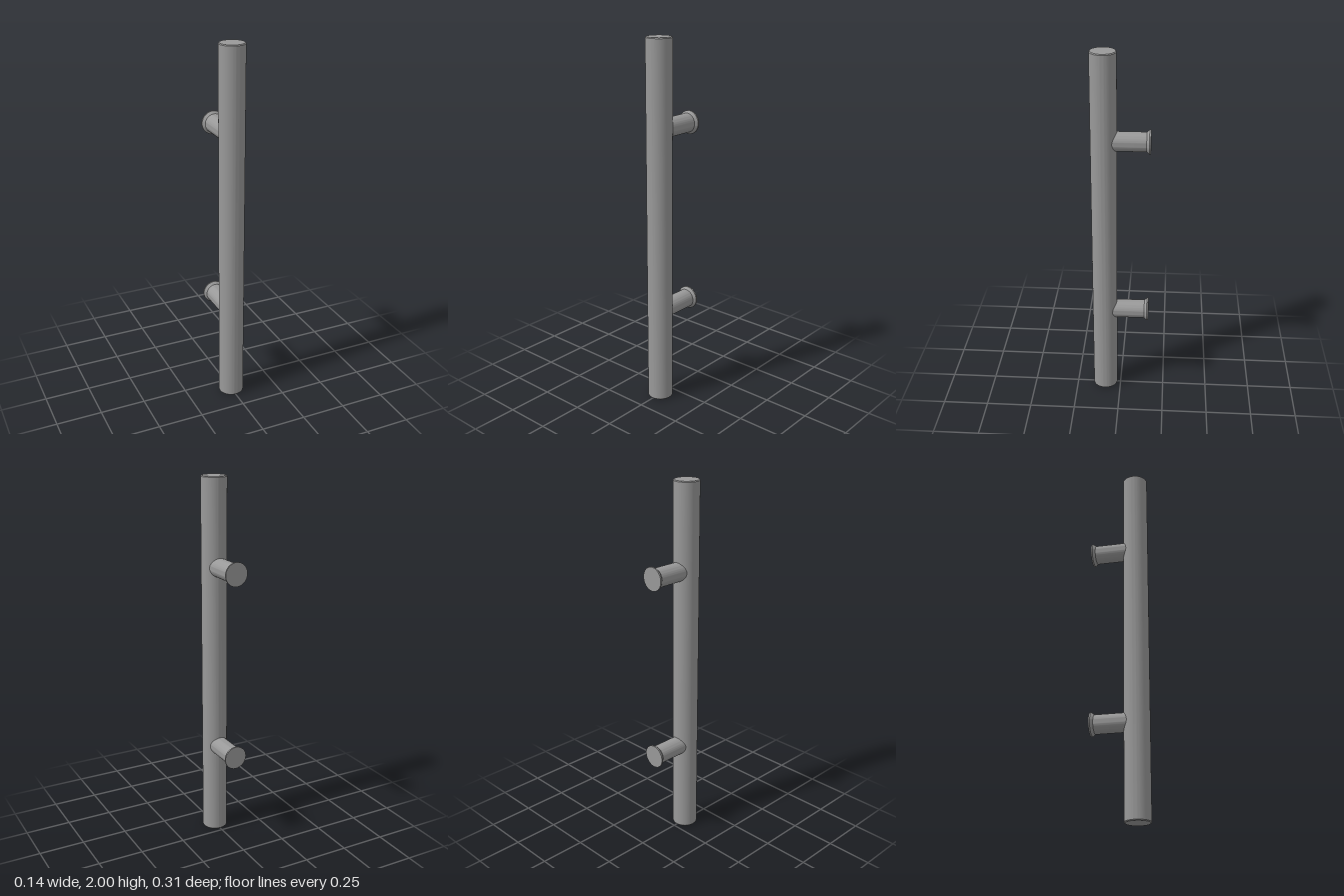
import * as THREE from 'three';
import { toCreasedNormals } from 'three/addons/utils/BufferGeometryUtils.js';

const BAR_Z = 0.0875;

// Solid of revolution from [radius, height] pairs, with crisp rims
function turned(name, profile, material) {
  const points = profile.map(([r, h]) => new THREE.Vector2(r, h));
  const geometry = toCreasedNormals(new THREE.LatheGeometry(points, 64), 0.5);
  const mesh = new THREE.Mesh(geometry, material);
  mesh.name = name;
  return mesh;
}

export function createModel() {
  const model = new THREE.Group();
  model.name = 'pullHandle';
  const steel = new THREE.MeshStandardMaterial({ color: 0x999999 });
  steel.name = 'brushed steel';

  // Upright grip bar with small chamfers at both ends
  const bar = turned('gripBar', [
    [0, 0], [0.064, 0], [0.0685, 0.0045],
    [0.0685, 1.9955], [0.064, 2], [0, 2],
  ], steel);
  bar.position.z = BAR_Z;
  model.add(bar);

  // Two standoff posts running back from the bar, each ending in a flared foot
  [['lowerPost', 0.52], ['upperPost', 1.532]].forEach(([name, y]) => {
    const post = turned(name, [
      [0, 0], [0.051, 0], [0.051, 0.2215],
      [0.063, 0.2355], [0.063, 0.2435], [0, 0.2435],
    ], steel);
    post.rotation.x = -Math.PI / 2;
    post.position.set(0, y, BAR_Z);
    model.add(post);
  });

  return model;
}
